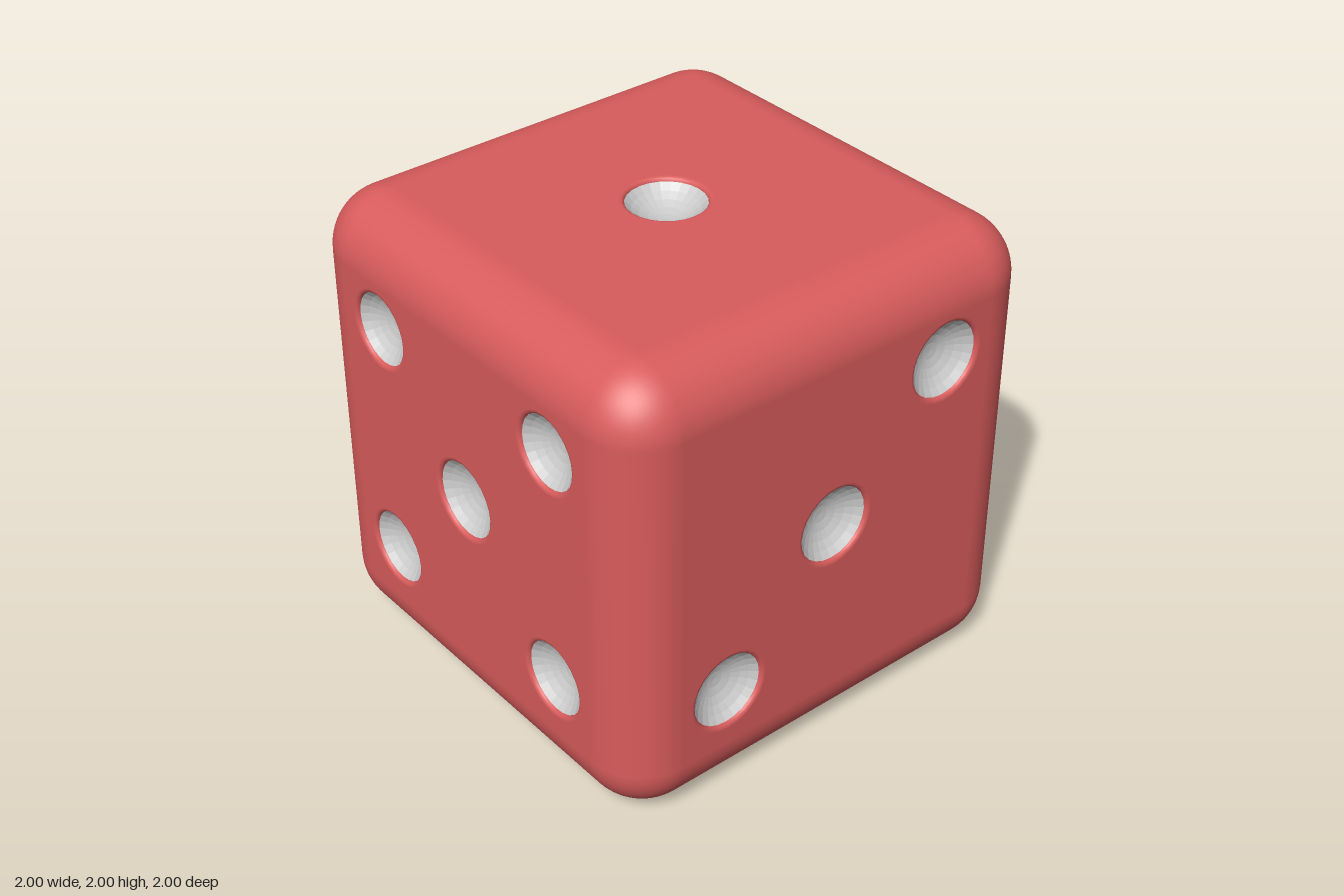
import * as THREE from 'three';
import { RoundedBoxGeometry } from 'three/addons/geometries/RoundedBoxGeometry.js';

const HALF = 1, ROUND = 0.25, SIDES = 24;
const RIM = 0.018, RIM_DEPTH = 0.016, BOWL_DEPTH = 0.075;

const red = new THREE.MeshStandardMaterial({ color: 0xd95c5c });
const grey = new THREE.MeshStandardMaterial({ color: 0xcccccc, flatShading: true });

// Rounded cube with its six flat panels removed
function roundedEdges() {
  const box = new RoundedBoxGeometry(2 * HALF, 2 * HALF, 2 * HALF, 7, ROUND).toNonIndexed();
  const pos = box.getAttribute('position'), nor = box.getAttribute('normal');
  const p = [], n = [];
  for (let i = 0; i < pos.count; i += 3) {
    const flat = [0, 1, 2].some(axis => [-1, 1].some(side => [0, 1, 2].every(
      k => Math.abs(pos.getComponent(i + k, axis) - side * HALF) < 1e-4)));
    if (flat) continue;
    for (let k = i; k < i + 3; k++) {
      p.push(pos.getX(k), pos.getY(k), pos.getZ(k));
      n.push(nor.getX(k), nor.getY(k), nor.getZ(k));
    }
  }
  const geo = new THREE.BufferGeometry();
  geo.setAttribute('position', new THREE.Float32BufferAttribute(p, 3));
  geo.setAttribute('normal', new THREE.Float32BufferAttribute(n, 3));
  return geo;
}

// Flat square panel with one round hole per pip
function panelGeometry(pips) {
  const h = HALF - ROUND;
  const shape = new THREE.Shape();
  shape.moveTo(-h, -h).lineTo(h, -h).lineTo(h, h).lineTo(-h, h).closePath();
  for (const [x, y, r] of pips) {
    shape.holes.push(new THREE.Path().absarc(x, y, r + RIM, 0, Math.PI * 2, true));
  }
  return new THREE.ShapeGeometry(shape, SIDES / 2);
}

// Soft lip rolling from the panel into the hole
function rimGeometry(r) {
  const pts = [];
  for (let i = 0; i <= 4; i++) {
    const a = (i / 4) * Math.PI / 2;
    pts.push(new THREE.Vector2(r + RIM * (1 - Math.sin(a)), -RIM_DEPTH * (1 - Math.cos(a))));
  }
  return new THREE.LatheGeometry(pts, SIDES).rotateX(Math.PI / 2);
}

// Shallow faceted spherical bowl
function bowlGeometry(r) {
  const R = (r * r + BOWL_DEPTH * BOWL_DEPTH) / (2 * BOWL_DEPTH);
  const full = Math.asin(r / R), pts = [];
  for (let i = 0; i <= 5; i++) {
    const a = full * (1 - i / 5);
    pts.push(new THREE.Vector2(R * Math.sin(a), -RIM_DEPTH - BOWL_DEPTH + R * (1 - Math.cos(a))));
  }
  return new THREE.LatheGeometry(pts, SIDES).rotateX(Math.PI / 2);
}

function addMesh(parent, name, geometry, material) {
  const mesh = new THREE.Mesh(geometry, material);
  mesh.name = name;
  parent.add(mesh);
  return mesh;
}

export function createModel() {
  const model = new THREE.Group();
  model.name = 'die';
  const cube = new THREE.Group();
  cube.name = 'cube';
  cube.position.y = HALF;
  model.add(cube);

  addMesh(cube, 'roundedEdges', roundedEdges(), red);

  // Pip positions on each face as [x, y, radius]
  const L = -0.527, R = 0.523, T = 0.557, B = -0.494, r = 0.162;
  const centre = [-0.013, 0.042, r];
  const q = Math.PI / 2;
  const faces = [
    ['front', 0, 0, [[L, T, 0.152], [R, T, 0.152], centre, [L, B, 0.157], [R, B, 0.157]]],
    ['back', 0, 2 * q, [[L, T, r], [R, T, r], [L, B, r], [R, B, r]]],
    ['left', 0, q, [[R, T, r], centre, [L, B, r]]],
    ['right', 0, -q, [[L, T, r], [R, B, r]]],
    ['top', -q, 0, [[-0.013, 0, r]]],
    ['bottom', q, 0, [-0.525, 0, 0.525].flatMap(y => [[L, y, r], [R, y, r]])],
  ];

  for (const [name, rx, ry, pips] of faces) {
    const face = new THREE.Group();
    face.name = name + 'Face';
    face.rotation.set(rx, ry, 0);
    cube.add(face);
    addMesh(face, name + 'Panel', panelGeometry(pips), red).position.z = HALF;
    for (const [x, y, radius] of pips) {
      const pip = new THREE.Group();
      pip.name = 'pip';
      pip.position.set(x, y, HALF);
      addMesh(pip, 'pipRim', rimGeometry(radius), red);
      addMesh(pip, 'pipBowl', bowlGeometry(radius), grey);
      face.add(pip);
    }
  }
  return model;
}
